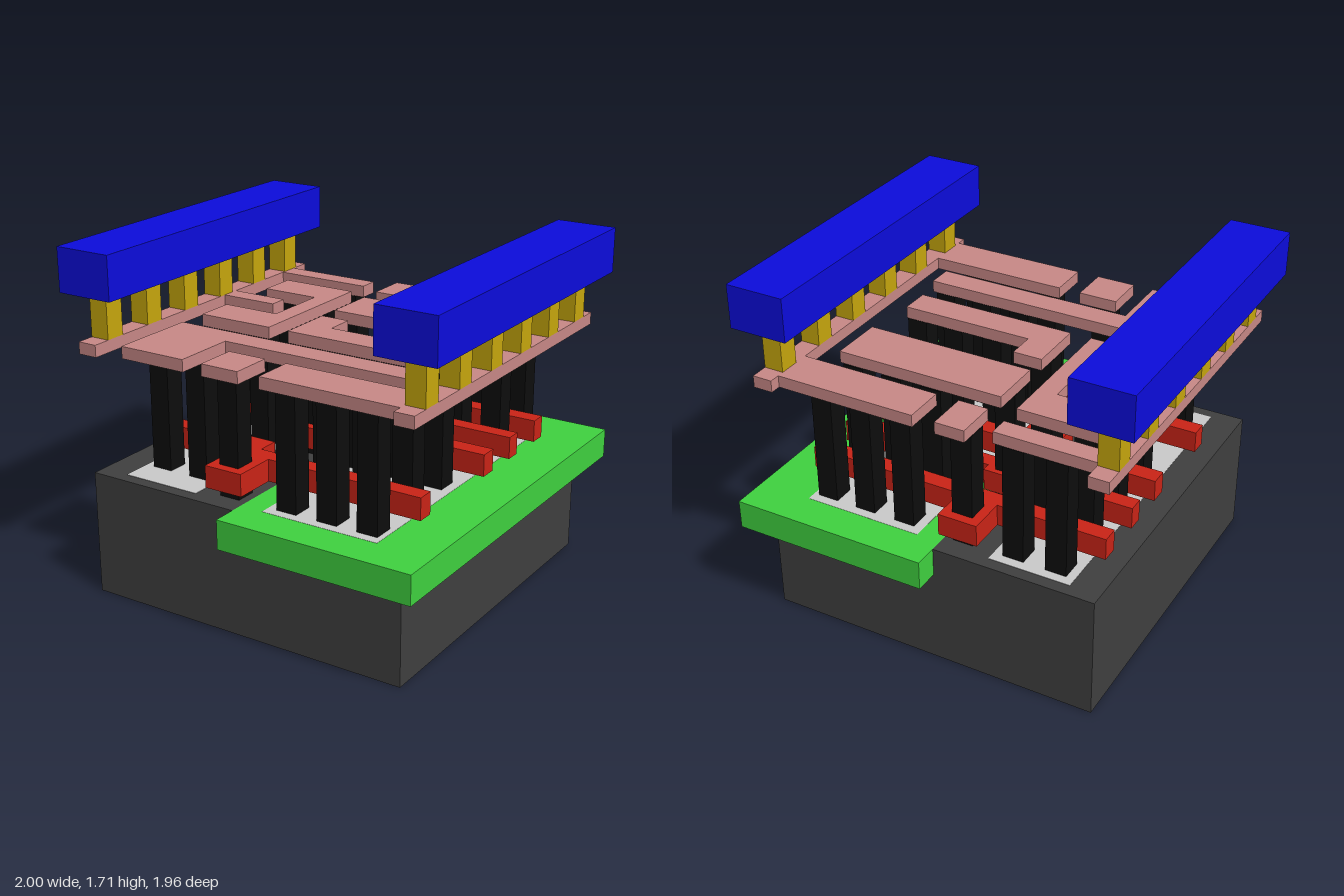
import * as THREE from 'three';

const mat = (color) => new THREE.MeshStandardMaterial({ color });
const MATS = {
  substrate: mat(0x404040), well: mat(0x40d340), diffusion: mat(0xcccccc), gate: mat(0xcb2417),
  contact: mat(0x0d0d0d), metal: mat(0xc98987), via: mat(0xc8a80d), rail: mat(0x0c0cdd),
};

export function createModel() {
  const model = new THREE.Group();

  // Axis-aligned block given by its extents
  const block = (name, m, x0, x1, y0, y1, z0, z1) => {
    const mesh = new THREE.Mesh(new THREE.BoxGeometry(x1 - x0, y1 - y0, z1 - z0), m);
    mesh.position.set((x0 + x1) / 2, (y0 + y1) / 2, (z0 + z1) / 2);
    mesh.name = name;
    model.add(mesh);
  };

  // Flat plate with an outline of [x, z] corners
  const plate = (name, m, y0, y1, outline) => {
    const shape = new THREE.Shape(outline.map(([x, z]) => new THREE.Vector2(x, -z)));
    const geo = new THREE.ExtrudeGeometry(shape, { depth: y1 - y0, bevelEnabled: false });
    geo.rotateX(-Math.PI / 2);
    const mesh = new THREE.Mesh(geo, m);
    mesh.position.y = y0;
    mesh.name = name;
    model.add(mesh);
  };

  // Base block, embedded well and the two active areas flush with its top
  const TOP = 0.625;
  block('substrate', MATS.substrate, -0.85, 0.85, 0, TOP, -0.86, 0.86);
  block('well', MATS.well, -0.035, 0.965, 0.48, TOP + 0.001, -0.98, 0.98);
  block('leftDiffusion', MATS.diffusion, -0.7, -0.29, 0.55, TOP + 0.002, -0.8, 0.8);
  block('rightDiffusion', MATS.diffusion, 0.085, 0.69, 0.55, TOP + 0.002, -0.8, 0.8);

  // Gate strips, each with a contact pad near the middle
  const gate = (outline) => plate('gateStrip', MATS.gate, 0.67, 0.78, outline);
  gate([[-0.78, -0.61], [-0.23, -0.61], [-0.23, -0.8], [-0.03, -0.8], [-0.03, -0.61],
    [0.78, -0.61], [0.78, -0.525], [-0.78, -0.525]]);
  gate([[-0.78, -0.34], [-0.23, -0.34], [-0.23, -0.385], [-0.03, -0.385], [-0.03, -0.34],
    [0.78, -0.34], [0.78, -0.26], [-0.03, -0.26], [-0.03, -0.225], [-0.23, -0.225],
    [-0.23, -0.26], [-0.78, -0.26]]);
  gate([[-0.78, -0.09], [0.78, -0.09], [0.78, 0], [-0.03, 0], [-0.03, 0.15],
    [-0.23, 0.15], [-0.23, 0], [-0.78, 0]]);
  gate([[-0.78, 0.39], [-0.13, 0.39], [-0.13, 0.5], [0.78, 0.5], [0.78, 0.585],
    [-0.03, 0.585], [-0.03, 0.8], [-0.23, 0.8], [-0.23, 0.475], [-0.78, 0.475]]);

  // Contact columns: rows of [z, x positions]
  const W = 0.0525;
  const rows = [
    [-0.7, [-0.605, -0.39, -0.13, 0.185, 0.4, 0.61]],
    [-0.435, [-0.605, -0.39, 0.185, 0.4, 0.61]],
    [-0.305, [-0.13]],
    [-0.175, [-0.605]],
    [0.05, [-0.13]],
    [0.1, [-0.605, -0.39, 0.17, 0.385, 0.59]],
    [0.405, [0.185, 0.4, 0.61]],
    [0.6, [-0.605, -0.39]],
    [0.7, [-0.13, 0.185, 0.4, 0.61]],
  ];
  for (const [z, xs] of rows)
    for (const x of xs) block('contactColumn', MATS.contact, x - W, x + W, TOP, 1.21, z - W, z + W);

  // Metal layer: two edge rails with stubs, then the inner wiring
  const metal = (name, outline) => plate(name, MATS.metal, 1.21, 1.27, outline);
  metal('leftMetalRail', [[-0.9, -0.86], [-0.8, -0.86], [-0.8, -0.75], [-0.29, -0.75], [-0.29, -0.65],
    [-0.8, -0.65], [-0.8, -0.225], [-0.5, -0.225], [-0.5, -0.13], [-0.8, -0.13], [-0.8, 0.86], [-0.9, 0.86]]);
  metal('rightMetalRail', [[0.9, -0.86], [0.8, -0.86], [0.8, -0.805], [0.085, -0.805], [0.085, -0.595],
    [0.8, -0.595], [0.8, 0.595], [0.085, 0.595], [0.085, 0.805], [0.8, 0.805], [0.8, 0.86], [0.9, 0.86]]);
  metal('bracketWire', [[-0.69, -0.535], [-0.29, -0.535], [-0.29, 0.2], [-0.69, 0.2], [-0.69, 0],
    [-0.39, 0], [-0.39, -0.34], [-0.69, -0.34]]);
  metal('outputWire', [[-0.69, 0.355], [0.685, 0.355], [0.685, 0.485], [-0.335, 0.485],
    [-0.335, 0.805], [-0.69, 0.805]]);
  metal('hookWire', [[-0.18, -0.095], [-0.03, -0.095], [-0.03, 0.05], [0.65, 0.05],
    [0.65, 0.2], [-0.18, 0.2]]);
  block('wideWire', MATS.metal, -0.18, 0.685, 1.21, 1.27, -0.48, -0.205);
  block('backPad', MATS.metal, -0.18, -0.03, 1.21, 1.27, -0.805, -0.595);
  block('frontPad', MATS.metal, -0.23, -0.03, 1.21, 1.27, 0.595, 0.805);

  // Upper power rails on rows of short posts
  for (const s of [-1, 1]) {
    block('powerRail', MATS.rail, s * 0.85 - 0.15, s * 0.85 + 0.15, 1.49, 1.71, -0.86, 0.86);
    for (let i = 0; i < 6; i++) {
      const z = (i - 2.5) * 0.287;
      block('viaPost', MATS.via, s * 0.85 - 0.05, s * 0.85 + 0.05, 1.27, 1.49, z - W, z + W);
    }
  }
  return model;
}
